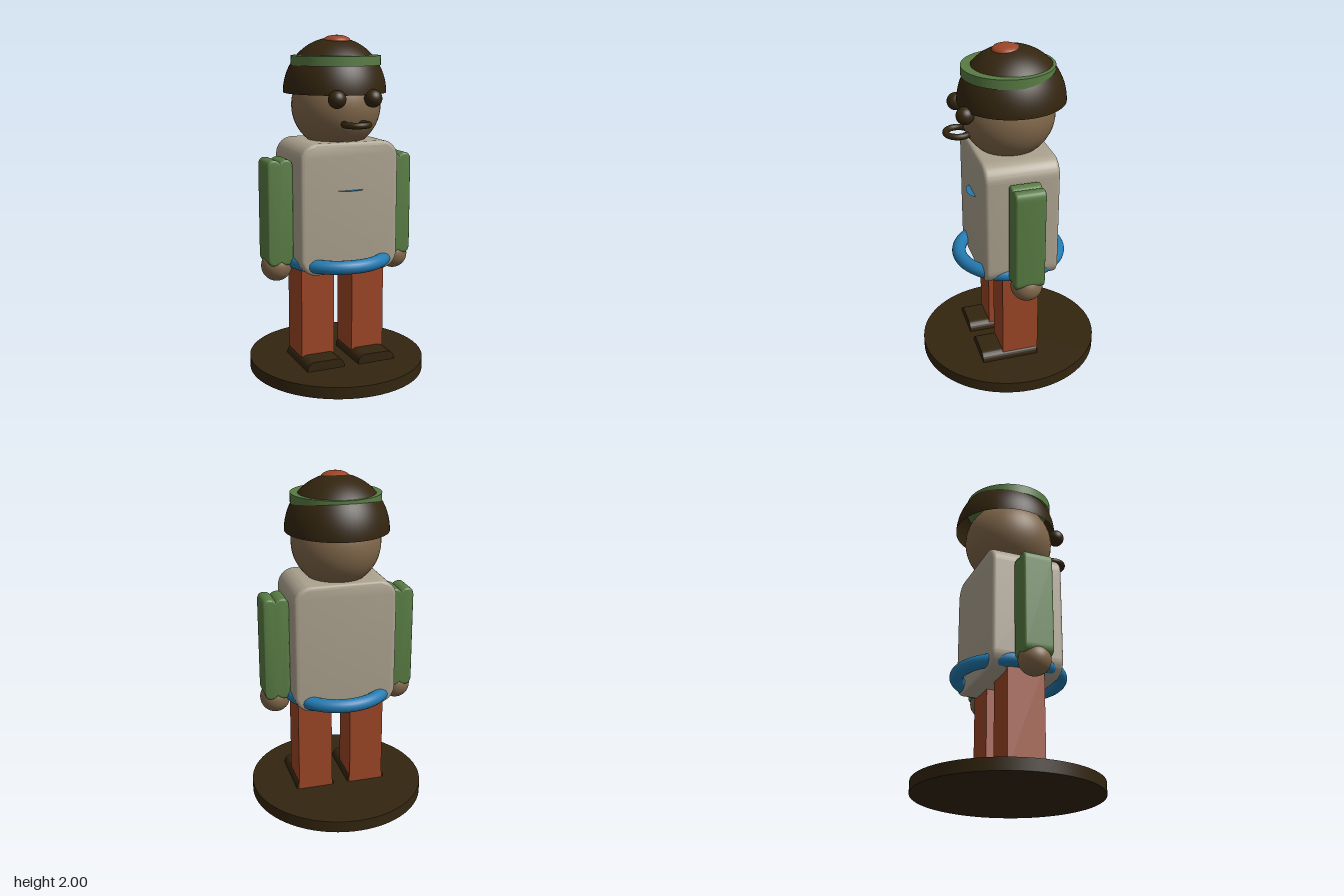
import * as THREE from 'three';
import { toCreasedNormals } from 'three/addons/utils/BufferGeometryUtils.js';

const mat = (name, color, extra = {}) => {
  const m = new THREE.MeshStandardMaterial({ color, ...extra });
  m.name = name;
  return m;
};

// Rounded rectangle centred on the origin
function roundedRect(w, h, r) {
  const s = new THREE.Shape();
  const x = w / 2, y = h / 2;
  s.absarc(x - r, y - r, r, 0, Math.PI / 2);
  s.absarc(-x + r, y - r, r, Math.PI / 2, Math.PI);
  s.absarc(-x + r, -y + r, r, Math.PI, Math.PI * 1.5);
  s.absarc(x - r, -y + r, r, Math.PI * 1.5, Math.PI * 2);
  s.closePath();
  return s;
}

// Sleeve outline: two soft lobes with a notch at each end
function sleeveShape(w, h) {
  const s = new THREE.Shape();
  const x = w / 2, y = h / 2, lobe = 0.04, corner = 0.05, notch = 0.016;
  s.moveTo(-x, -y + corner);
  s.lineTo(-x, y - corner);
  s.quadraticCurveTo(-x, y, -lobe, y);
  s.quadraticCurveTo(-0.015, y, 0, y - notch);
  s.quadraticCurveTo(0.015, y, lobe, y);
  s.quadraticCurveTo(x, y, x, y - corner);
  s.lineTo(x, -y + corner);
  s.quadraticCurveTo(x, -y, lobe, -y);
  s.quadraticCurveTo(0.015, -y, 0, -y + notch);
  s.quadraticCurveTo(-0.015, -y, -lobe, -y);
  s.quadraticCurveTo(-x, -y, -x, -y + corner);
  return s;
}

// Extrusion along z, centred, keeping the outline's outer size
function slab(shape, depth, bevel) {
  const g = new THREE.ExtrudeGeometry(shape, {
    depth: depth - 2 * bevel, bevelEnabled: bevel > 0, bevelThickness: bevel,
    bevelSize: bevel, bevelOffset: -bevel, bevelSegments: 4, curveSegments: 10,
  });
  g.translate(0, 0, -depth / 2 + bevel);
  return toCreasedNormals(g, 0.6);
}

export function createModel() {
  const model = new THREE.Group();
  const darkBrown = mat('dark brown', 0x33250f);
  const hatBrown = darkBrown;
  const skin = mat('skin brown', 0x80674a);
  const stone = mat('stone beige', 0xaba18e);
  const green = mat('leaf green', 0x587c43);
  const blue = mat('belt blue', 0x237bb2);
  const rust = mat('rust orange', 0x9c4526);
  darkBrown.side = blue.side = THREE.DoubleSide;

  const add = (name, geometry, material, x, y, z) => {
    const mesh = new THREE.Mesh(geometry, material);
    mesh.name = name;
    mesh.position.set(x, y, z);
    model.add(mesh);
    return mesh;
  };
  const ball = (r) => new THREE.SphereGeometry(r, 40, 28);
  const deep = 1.037; // rounds are slightly deeper than wide

  // Stand
  add('base', new THREE.CylinderGeometry(0.527, 0.527, 0.07, 72), darkBrown, 0, 0.035, 0).scale.z = deep;

  // Paired parts
  for (const [side, s] of [['left', 1], ['right', -1]]) {
    add(side + 'Shoe', slab(roundedRect(0.235, 0.105, 0.048), 0.345, 0), darkBrown, s * 0.1625, 0.0725, 0.0675);
    add(side + 'Leg', new THREE.BoxGeometry(0.207, 0.63, 0.223), rust, s * 0.1615, 0.385, 0);
    add(side + 'Arm', slab(sleeveShape(0.154, 0.62), 0.176, 0.012), green, s * 0.379, 0.995, 0);
    add(side + 'Hand', ball(0.09), skin, s * 0.38, 0.667, 0).scale.z = deep;
    add(side + 'Eye', ball(0.051), darkBrown, s * 0.11, 1.652, 0.277);
  }

  // Body
  add('torso', slab(roundedRect(0.606, 0.765, 0.1), 0.437, 0.022), stone, 0, 1.02, 0);
  const belt = add('belt', new THREE.TorusGeometry(0.293, 0.04, 20, 72), blue, 0, 0.695, 0);
  belt.rotation.x = Math.PI / 2;
  belt.scale.y = deep;

  // Thin ledge on the chest
  const ledge = add('chestLedge', new THREE.CircleGeometry(0.076, 24, Math.PI, Math.PI), blue, 0, 1.127, 0.218);
  ledge.rotation.x = -Math.PI / 2;
  ledge.scale.y = 0.45;

  // Head and mouth ring
  add('head', ball(0.26), skin, 0, 1.6, 0).scale.z = deep;
  const mouth = add('mouth', new THREE.TorusGeometry(0.07, 0.018, 16, 48), darkBrown, 0, 1.511, 0.294);
  mouth.rotation.x = Math.PI / 2;

  // Hat
  const dome = new THREE.SphereGeometry(0.3, 56, 24, 0, Math.PI * 2, 0, Math.PI / 2);
  add('hatDome', dome, hatBrown, 0, 1.672, -0.02).scale.set(1, 1.05, deep);
  add('hatBand', new THREE.CylinderGeometry(0.26, 0.26, 0.055, 64), green, 0, 1.857, 0).scale.z = 1.02;
  add('hatButton', ball(0.081), rust, 0, 1.967, 0.012).scale.y = 0.41;

  return model;
}
